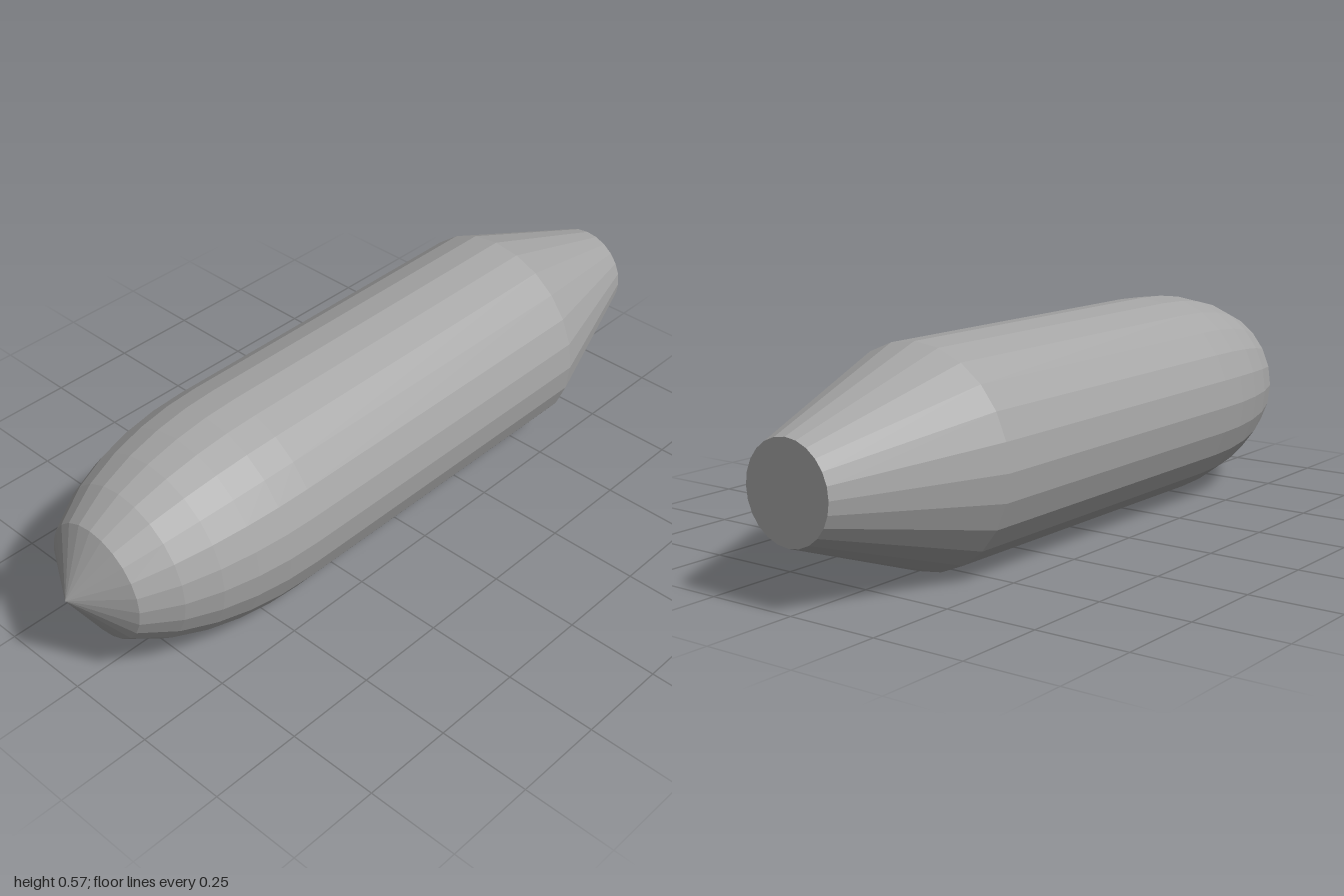
import * as THREE from 'three';

const SIDES = 24;
const RADIUS = 0.286;
const NOSE_START = 0.44, NOSE_LENGTH = 0.56;
const TAIL_START = -0.56, TAIL_RADIUS = 0.128;

export function createModel() {
  const model = new THREE.Group();
  model.name = 'capsuleHull';

  const grey = new THREE.MeshStandardMaterial({ color: 0xa6a6a6, flatShading: true });
  grey.name = 'hullGrey';

  // Turns a profile of [radius, z] pairs, listed back to front, around the long axis
  const addTurned = (name, profile) => {
    const points = profile.map(([r, z]) => new THREE.Vector2(r, z));
    const geometry = new THREE.LatheGeometry(points, SIDES);
    geometry.rotateX(Math.PI / 2);
    geometry.translate(0, RADIUS, 0);
    const mesh = new THREE.Mesh(geometry, grey);
    mesh.name = name;
    model.add(mesh);
  };

  // Tapered tail with a flat closed end
  addTurned('tail', [[0, -1], [TAIL_RADIUS, -1], [RADIUS, TAIL_START]]);

  // Straight tube
  addTurned('body', [[RADIUS, TAIL_START], [RADIUS, NOSE_START]]);

  // Half-ellipse nose in six equal steps along its length, ending in a point
  const nose = [];
  for (let i = 0; i <= 6; i++) {
    const t = i / 6;
    nose.push([RADIUS * Math.sqrt(1 - t * t), NOSE_START + NOSE_LENGTH * t]);
  }
  addTurned('nose', nose);

  return model;
}
